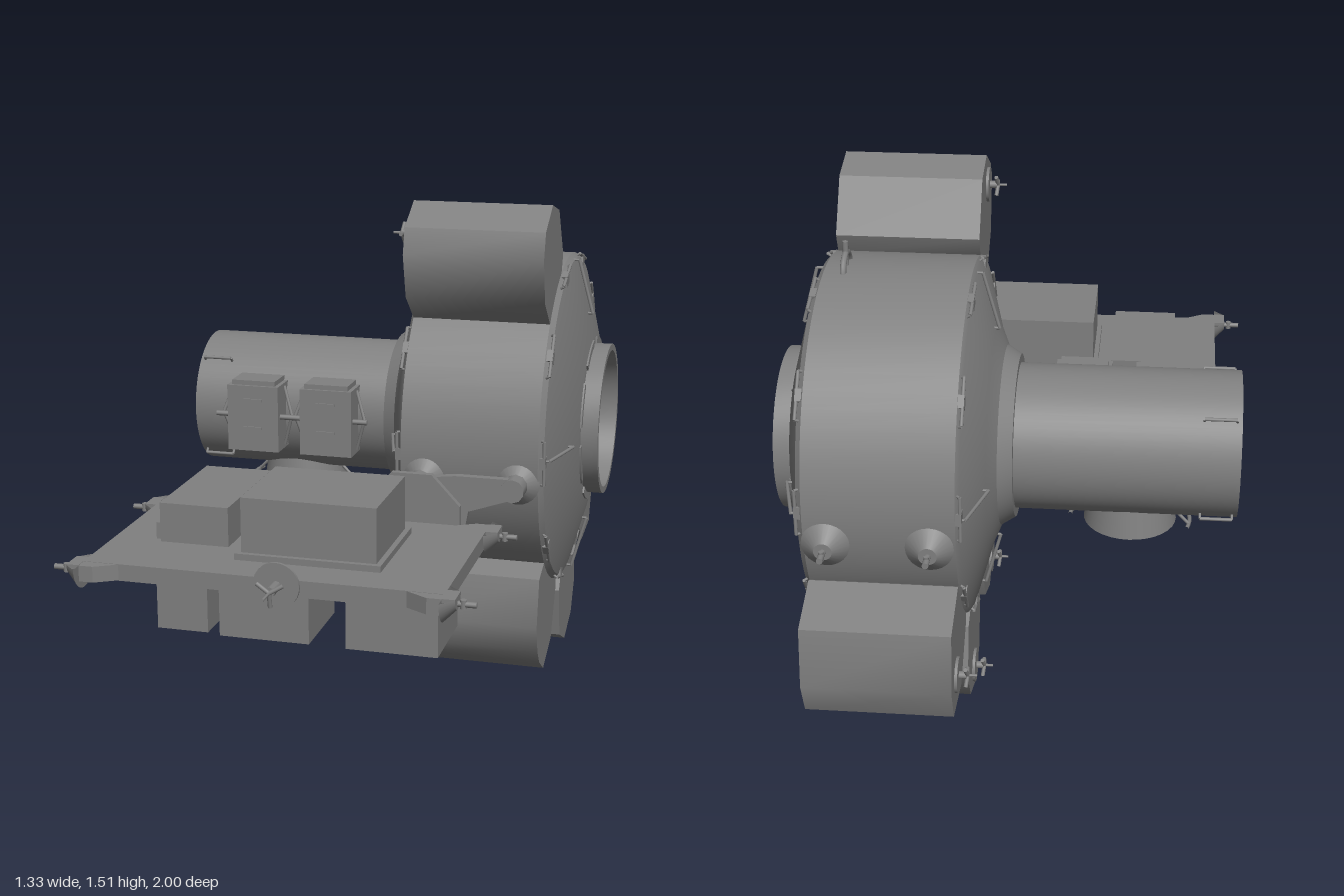
import * as THREE from 'three';
import { toCreasedNormals } from 'three/addons/utils/BufferGeometryUtils.js';

const UP = new THREE.Vector3(0, 1, 0);
const AXIS_Y = 0.795, AXIS_Z = -0.34; // long axis of the station
const GREY = 0x808080;

export function createModel() {
  const model = new THREE.Group();
  model.name = 'stationModule';
  const mat = new THREE.MeshStandardMaterial({ color: GREY });
  const flat = new THREE.MeshStandardMaterial({ color: GREY, flatShading: true });
  const open = new THREE.MeshStandardMaterial({ color: GREY, side: THREE.DoubleSide });

  const add = (name, geo, parent = model, material = mat) => {
    const mesh = new THREE.Mesh(geo, material);
    mesh.name = name;
    parent.add(mesh);
    return mesh;
  };
  // Box given by its limits on each axis
  const box = (name, x0, x1, y0, y1, z0, z1, parent = model) => {
    const m = add(name, new THREE.BoxGeometry(x1 - x0, y1 - y0, z1 - z0), parent, flat);
    m.position.set((x0 + x1) / 2, (y0 + y1) / 2, (z0 + z1) / 2);
  };
  // Round bar between two points
  const bar = (name, a, b, r, parent = model) => {
    const p = new THREE.Vector3(...a), q = new THREE.Vector3(...b), d = q.clone().sub(p);
    const m = add(name, new THREE.CylinderGeometry(r, r, d.length(), 10), parent);
    m.position.copy(p).add(q).multiplyScalar(0.5);
    m.quaternion.setFromUnitVectors(UP, d.normalize());
  };
  // Raised grab rail: bar with two feet reaching along "drop"
  const rail = (name, a, b, drop, parent) => {
    const g = new THREE.Group();
    g.name = name;
    bar('railBar', a, b, 0.005, g);
    for (const p of [a, b]) bar('railFoot', p, p.map((v, i) => v + drop[i]), 0.004, g);
    parent.add(g);
  };
  // Outline in (-z, y), extruded along +x
  const extrudeX = (shape, depth, crease = 0.5) => toCreasedNormals(
    new THREE.ExtrudeGeometry(shape, { depth, bevelEnabled: false, curveSegments: 16 }).rotateY(Math.PI / 2), crease);
  const polygon = (pts) => new THREE.Shape(pts.map(([x, y]) => new THREE.Vector2(x, y)));

  // Group whose +y points along dir
  const aimed = (name, pos, dir) => {
    const g = new THREE.Group();
    g.name = name;
    g.position.set(...pos);
    g.quaternion.setFromUnitVectors(UP, new THREE.Vector3(...dir));
    model.add(g);
    return g;
  };
  // Mounting pin: flared foot and a rod with a small head
  const pin = (name, pos, dir) => {
    const g = aimed(name, pos, dir);
    add('foot', new THREE.CylinderGeometry(0.025, 0.066, 0.04, 24), g).position.y = 0.02;
    bar('rod', [0, 0, 0], [0, 0.085, 0], 0.009, g);
    bar('head', [0, 0.06, -0.014], [0, 0.06, 0.014], 0.007, g);
  };
  // Valve: thin disc, stem and three vanes
  const valve = (name, pos, dir, r, len) => {
    const g = aimed(name, pos, dir);
    add('disc', new THREE.CylinderGeometry(r, r, 0.008, 28), g).position.y = 0.004;
    bar('stem', [0, 0, 0], [0, len * 0.5, 0], r * 0.22, g);
    bar('rod', [0, 0, 0], [0, len, 0], 0.004, g);
    for (let i = 0; i < 3; i++) {
      const a = i * Math.PI * 2 / 3;
      bar('vane', [0, len * 0.55, 0], [Math.sin(a) * r * 0.65, len * 0.48, Math.cos(a) * r * 0.65], 0.006, g);
    }
  };

  // ---- Station hull, turned about the x axis ----
  const hull = new THREE.Group();
  hull.name = 'hull';
  hull.position.set(0, AXIS_Y, AXIS_Z);
  model.add(hull);
  const profile = [[0, -0.635], [0.21, -0.635], [0.21, -0.005], [0.235, -0.005], [0.26, 0.035], [0.32, 0.06],
    [0.5, 0.11], [0.515, 0.12], [0.515, 0.53], [0.5, 0.545], [0.26, 0.612], [0.235, 0.612],
    [0.235, 0.664], [0.215, 0.664], [0.21, 0.59]].map(([r, x]) => new THREE.Vector2(r, x));
  add('pressureHull', toCreasedNormals(new THREE.LatheGeometry(profile, 64).rotateZ(-Math.PI / 2), 0.4), hull);

  // Hatch: round plate with a rounded square opening
  const roundedSquare = (h, r, path) => {
    path.moveTo(h, -h + r).lineTo(h, h - r).absarc(h - r, h - r, r, 0, Math.PI / 2)
      .lineTo(-h + r, h).absarc(-h + r, h - r, r, Math.PI / 2, Math.PI)
      .lineTo(-h, -h + r).absarc(-h + r, -h + r, r, Math.PI, Math.PI * 1.5)
      .lineTo(h - r, -h).absarc(h - r, -h + r, r, Math.PI * 1.5, Math.PI * 2);
    return path;
  };
  const plate = new THREE.Shape().absarc(0, 0, 0.222, 0, Math.PI * 2);
  plate.holes.push(roundedSquare(0.168, 0.07, new THREE.Path()));
  add('hatchFrame', extrudeX(plate, 0.1), hull).position.x = 0.5;
  const lip = roundedSquare(0.168, 0.07, new THREE.Shape());
  lip.holes.push(roundedSquare(0.155, 0.06, new THREE.Path()));
  add('hatchLip', extrudeX(lip, 0.02), hull).position.x = 0.56;
  add('hatchDoor', new THREE.CylinderGeometry(0.222, 0.222, 0.02, 40).rotateZ(-Math.PI / 2), hull).position.x = 0.49;

  // Latch segments round the docking ring
  for (let i = 0; i < 8; i++) {
    const a = i * Math.PI / 4 + 0.12, b = a + Math.PI / 4 - 0.24;
    const seg = new THREE.Shape().absarc(0, 0, 0.257, a, b).absarc(0, 0, 0.234, b, a, true);
    add('dockingLatch', extrudeX(seg, 0.012), hull).position.x = 0.605;
  }

  // Grab rails round both rims and down both cones
  const polar = (x, r, a) => [x, r * Math.sin(a), -r * Math.cos(a)];
  for (const side of [-1, 1]) {
    const rimX = side > 0 ? 0.547 : 0.107;
    for (let i = 0; i < 10; i++) {
      const a = (i + 0.05) * Math.PI / 5, d = polar(-side * 0.02, -0.015, a);
      rail('rimRail', polar(rimX, 0.512, a - 0.13), polar(rimX, 0.512, a + 0.13), d, hull);
      const block = add('rimBlock', new THREE.BoxGeometry(0.018, 0.035, 0.035), hull, flat);
      block.position.set(...polar(rimX - side * 0.005, 0.496, a));
      block.rotation.x = a;
    }
    for (let i = 0; i < 4; i++) {
      const a = i * Math.PI / 2 + 0.02;
      const inner = polar(side > 0 ? 0.605 : 0.05, 0.335, a);
      rail('coneRail', polar(side > 0 ? 0.56 : 0.095, 0.5, a), inner, [-side * 0.022, 0, 0], hull);
    }
  }
  // Grab rails on the tube
  for (let i = 0; i < 4; i++) {
    const a = Math.PI / 4 + i * Math.PI / 2;
    rail('tubeRail', polar(-0.62, 0.225, a), polar(-0.53, 0.225, a), polar(0, -0.02, a), hull);
  }

  // ---- Tanks round the drum: outlines as (z, y) ----
  const tanks = [
    [[0.025, 1.51], [-0.095, 1.48], [-0.19, 1.335], [-0.165, 1.27], [-0.1, 1.2], [0.02, 1.16], [0.12, 1.24], [0.157, 1.37], [0.135, 1.447]],
    [[0.094, 0.396], [0.12, 0.25], [0.094, 0.166], [0.055, 0.115], [-0.024, 0.065], [-0.158, 0.115], [-0.228, 0.262], [-0.215, 0.32], [-0.07, 0.45]],
    [[-0.351, 0.3], [-0.303, 0.22], [-0.34, 0.054], [-0.45, 0], [-0.581, 0.045], [-0.638, 0.145], [-0.603, 0.3], [-0.48, 0.36]],
    [[-0.817, 0.58], [-0.977, 0.527], [-1, 0.355], [-0.961, 0.254], [-0.79, 0.237], [-0.656, 0.361], [-0.651, 0.41], [-0.71, 0.52]],
  ];
  for (const pts of tanks) {
    add('tank', extrudeX(polygon(pts.map(([z, y]) => [-z, y])), 0.41, 0.74)).position.x = 0.12;
    const c = new THREE.Vector2();
    pts.forEach(([z, y]) => c.add(new THREE.Vector2(z, y).divideScalar(pts.length)));
    const out = c.clone().sub(new THREE.Vector2(AXIS_Z, AXIS_Y)).setLength(0.095);
    valve('tankValve', [0.12, c.y + out.y, c.x + out.x], [-1, 0, 0], 0.05, 0.057);
  }

  // ---- Pins on the drum ----
  for (const x of [0.19, 0.47]) {
    pin('rearPin', [x, 0.72, -0.853], [0, 0, -1]);
    pin('frontPin', [x, 0.715, 0.165], [0, 0, 1]);
  }
  const arch = add('keelArch', new THREE.TorusGeometry(0.055, 0.009, 8, 16, Math.PI).rotateY(Math.PI / 2));
  arch.position.set(0.475, 1.29, AXIS_Z);
  bar('keelPin', [0.475, 1.3, AXIS_Z], [0.475, 1.38, AXIS_Z], 0.008);

  // ---- Equipment boxes on the tube ----
  for (const x of [-0.415, -0.178]) {
    const g = new THREE.Group();
    g.name = 'equipmentBox';
    model.add(g);
    box('body', x - 0.083, x + 0.083, 0.69, 0.9, -0.16, -0.05, g);
    box('lid', x - 0.07, x + 0.07, 0.69, 0.915, -0.16, -0.06, g);
    for (const y of [0.855, 0.765]) box('slot', x - 0.03, x + 0.03, y - 0.004, y + 0.004, -0.055, -0.045, g);
    for (const s of [-1, 1]) {
      const e = x + s * 0.083;
      bar('bracketTop', [e, 0.89, -0.12], [e + s * 0.03, 0.8, -0.1], 0.005, g);
      bar('bracketBottom', [e, 0.7, -0.12], [e + s * 0.03, 0.8, -0.1], 0.005, g);
      bar('bracketKnob', [e, 0.8, -0.075], [e + s * 0.045, 0.8, -0.075], 0.008, g);
    }
  }

  // Port under the tube with a curved guard rail
  add('lowerPort', new THREE.CylinderGeometry(0.12, 0.135, 0.1, 32)).position.set(-0.33, 0.59, AXIS_Z);
  const guard = add('guardRail', new THREE.TorusGeometry(0.175, 0.006, 6, 32, Math.PI * 1.1).rotateX(Math.PI / 2));
  guard.position.set(-0.33, 0.537, AXIS_Z);
  for (const a of [0.1, 1.1, 2.1, 3.3]) {
    const c = Math.cos(a), s = Math.sin(a);
    bar('guardStrut', [-0.33 + c * 0.175, 0.537, AXIS_Z + s * 0.175], [-0.33 + c * 0.11, 0.6, AXIS_Z + s * 0.11], 0.005);
  }

  // ---- Attachment arm between drum and platform ----
  const slab = (name, pts, z, depth) => {
    add(name, new THREE.ExtrudeGeometry(polygon(pts), { depth, bevelEnabled: false }), model, flat).position.z = z;
  };
  slab('outerPlate', Array.from({ length: 8 }, (_, i) => {
    const a = (i + 0.5) * Math.PI / 4;
    return [0.185 + 0.155 * Math.cos(a), 0.61 + 0.165 * Math.sin(a)];
  }), 0.285, 0.02);
  slab('innerPlate', [[0.02, 0.65], [0.02, 0.54], [0.09, 0.45], [0.25, 0.45], [0.32, 0.53], [0.34, 0.64],
    [0.47, 0.685], [0.49, 0.715], [0.47, 0.745], [0.3, 0.745], [0.09, 0.72]], 0.215, 0.025);
  bar('armHub', [0.185, 0.715, 0.17], [0.185, 0.715, 0.29], 0.03);
  bar('armKnuckle', [0.47, 0.715, 0.19], [0.47, 0.715, 0.255], 0.035);

  // ---- Cargo platform ----
  box('platformDeck', -0.585, 0.415, 0.575, 0.622, 0.32, 0.88);
  const bowl = new THREE.CylinderGeometry(0.035, 0.07, 0.035, 20, 1, false, 0, Math.PI);
  for (const sx of [-1, 1]) for (const sz of [-1, 1]) {
    const end = -0.085 + sx * 0.5, mid = end + sx * 0.0175, z = 0.6 + sz * 0.28;
    // Flared corner
    const flare = polygon([[0, 0], [0.1, 0], [0.04, 0.035], [0, 0.035]].map(([a, b]) => [end - sx * a, -(z + sz * b)]));
    add('platformCorner', new THREE.ExtrudeGeometry(flare, { depth: 0.045, bevelEnabled: false }).rotateX(-Math.PI / 2), model, flat)
      .position.y = 0.576;
    // Half-round foot with a flat top, and its rod
    const foot = add('cornerFoot', bowl, model, open);
    foot.position.set(mid, 0.62, z);
    foot.quaternion.setFromRotationMatrix(new THREE.Matrix4().makeBasis(
      new THREE.Vector3(0, -1, 0), new THREE.Vector3(sx, 0, 0), new THREE.Vector3(0, 0, sx)));
    box('footTop', mid - 0.0175, mid + 0.0175, 0.612, 0.622, z - 0.035, z + 0.035);
    bar('cornerRod', [end, 0.6, z], [end + sx * 0.085, 0.6, z], 0.008);
    bar('cornerStud', [end + sx * 0.05, 0.588, z], [end + sx * 0.05, 0.612, z], 0.009);
  }
  valve('platformValve', [-0.037, 0.605, 0.88], [0, 0, 1], 0.064, 0.12);

  // Cargo above and below the deck
  box('upperCargoBase', -0.195, 0.215, 0.62, 0.64, 0.42, 0.765);
  box('upperCargoLarge', -0.18, 0.2, 0.62, 0.795, 0.44, 0.75);
  box('upperCargoSmall', -0.445, -0.245, 0.62, 0.735, 0.29, 0.67);
  box('upperCargoLedge', -0.465, -0.4, 0.62, 0.67, 0.35, 0.65);
  box('lowerCargoTall', -0.46, -0.31, 0.365, 0.58, 0.53, 0.675);
  box('lowerCargoFront', -0.205, 0.045, 0.44, 0.58, 0.62, 0.865);
  box('lowerCargoRear', -0.205, 0.045, 0.5, 0.58, 0.37, 0.62);
  box('lowerCargoSide', 0.12, 0.375, 0.4, 0.58, 0.53, 0.775);
  return model;
}
